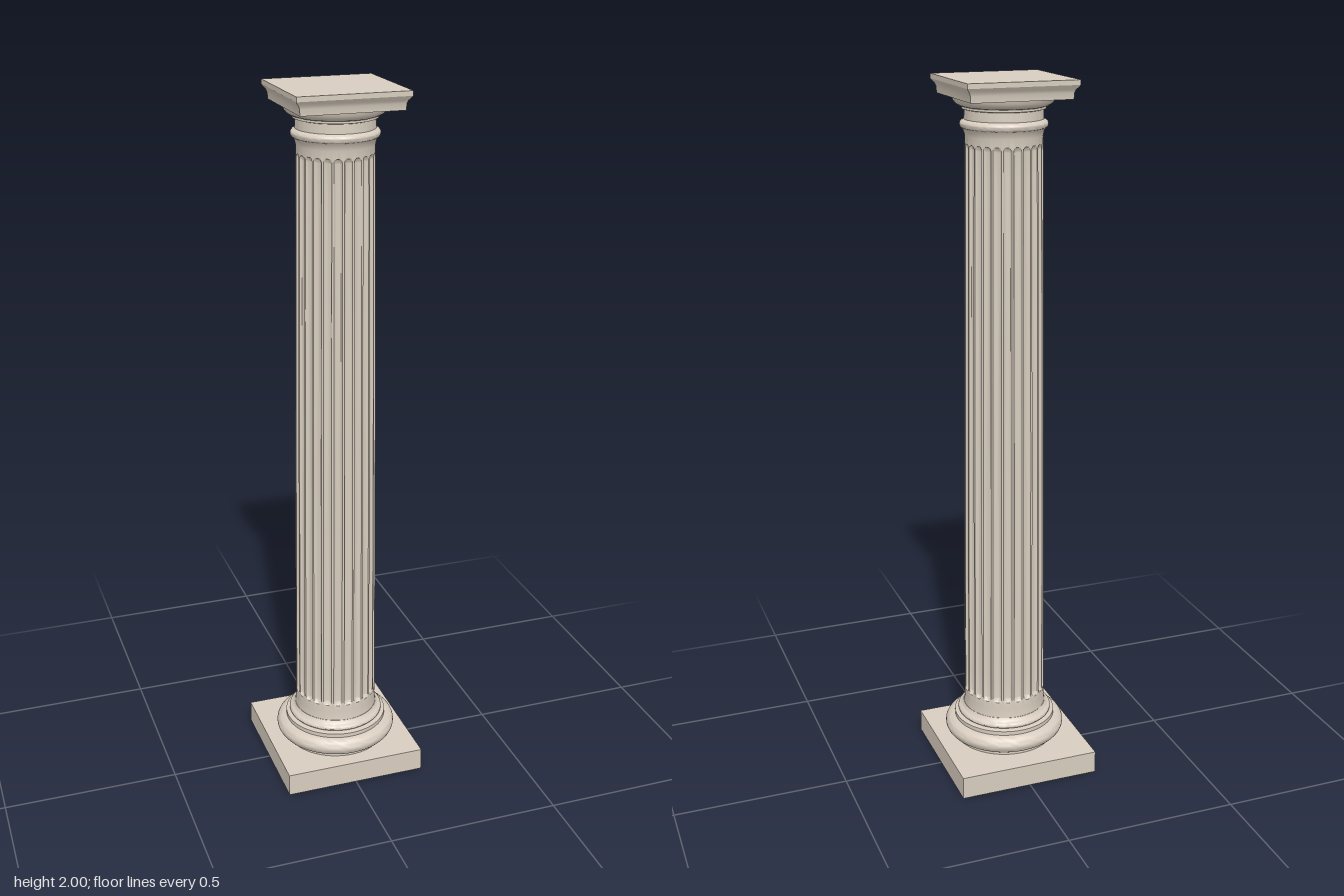
import * as THREE from 'three';
import { mergeVertices, toCreasedNormals } from 'three/addons/utils/BufferGeometryUtils.js';

const FLUTES = 24;
const AXIS_Z = 0.014; // the column stands slightly forward on its plinth
const FLUTE_BOTTOM = 0.22, FLUTE_TOP = 1.83;

const stone = new THREE.MeshStandardMaterial({ color: 0xd8cdbf });

function addMesh(group, name, geometry, z = AXIS_Z) {
  const mesh = new THREE.Mesh(geometry, stone);
  mesh.name = name;
  mesh.position.z = z;
  group.add(mesh);
}

// Turned solid from [radius, y] pairs, bottom to top
function turned(profile, segments = 72, crease = 0.7) {
  const points = profile.map(([r, y]) => new THREE.Vector2(r, y));
  const geometry = new THREE.LatheGeometry(points, segments);
  return toCreasedNormals(geometry, crease);
}

// Half-round bead: arc bulging outward between y0 and y1
function bead(r, bulge, y0, y1, steps = 12) {
  return Array.from({ length: steps + 1 }, (_, i) => {
    const a = -Math.PI / 2 + (Math.PI * i) / steps;
    return [r + bulge * Math.cos(a), (y0 + y1) / 2 + ((y1 - y0) / 2) * Math.sin(a)];
  });
}

// Square moulded block from [half width, y] pairs
function squareBlock(profile) {
  const geometry = turned(profile.map(([h, y]) => [h * Math.SQRT2, y]), 4, 0.35);
  return geometry.rotateY(Math.PI / 4);
}

// Tapered shaft with flutes that end in rounded stops
function flutedShaft() {
  const rows = [[0.121, 0.165], [0.119, 0.18], [0.118, 0.2]];
  const capRows = [0, 0.002, 0.005, 0.009, 0.014];
  const heights = [
    ...capRows.map((d) => FLUTE_BOTTOM + d),
    ...Array.from({ length: 13 }, (_, i) => 0.3 + i * 0.12),
    ...capRows.map((d) => FLUTE_TOP - d).reverse(),
  ];
  for (const y of heights) {
    const t = (y - FLUTE_BOTTOM) / (FLUTE_TOP - FLUTE_BOTTOM);
    rows.push([0.118 - 0.009 * t - 0.005 * t * t, y]);
  }
  rows.push([0.104, 1.85], [0.107, 1.862], [0.112, 1.87]);

  const points = rows.map(([r, y]) => new THREE.Vector2(r, y));
  let geometry = new THREE.LatheGeometry(points, FLUTES * 10);
  const p = geometry.attributes.position;
  for (let i = 0; i < p.count; i++) {
    const x = p.getX(i), y = p.getY(i), z = p.getZ(i);
    const phase = (Math.atan2(x, z) / (2 * Math.PI)) * FLUTES;
    const across = (phase - Math.round(phase)) / 0.4; // -1..1 inside a flute
    const fromEnd = Math.min(y - FLUTE_BOTTOM, FLUTE_TOP - y);
    const along = 1 - THREE.MathUtils.clamp(fromEnd / 0.014, 0, 1);
    const inside = fromEnd < 0 ? 0 : Math.max(0, 1 - across * across - along * along);
    const scale = 1 - (0.009 * Math.sqrt(inside)) / Math.hypot(x, z);
    p.setXYZ(i, x * scale, y, z * scale);
  }
  geometry.deleteAttribute('normal');
  geometry.deleteAttribute('uv');
  geometry = mergeVertices(geometry, 1e-5);
  return toCreasedNormals(geometry, 0.7);
}

export function createModel() {
  const column = new THREE.Group();
  column.name = 'column';

  // Square plinth
  addMesh(column, 'plinth', new THREE.BoxGeometry(0.412, 0.066, 0.412).translate(0, 0.033, 0), 0);

  // Round base: neck, large torus and stepped fillets up to the shaft
  addMesh(column, 'base', turned([
    [0, 0.06], [0.148, 0.06], [0.148, 0.078],
    ...bead(0.148, 0.028, 0.078, 0.13),
    [0.148, 0.142], [0.138, 0.144],
    ...bead(0.13, 0.008, 0.144, 0.16, 6),
    [0.125, 0.164], [0.121, 0.172], [0, 0.172],
  ]));

  addMesh(column, 'shaft', flutedShaft());

  // Round capital: astragal, necking and echinus
  addMesh(column, 'capital', turned([
    [0, 1.868], [0.11, 1.868],
    ...bead(0.11, 0.008, 1.87, 1.89, 8),
    [0.106, 1.893], [0.105, 1.918], [0.112, 1.92], [0.112, 1.926],
    [0.12, 1.928], [0.129, 1.934], [0.135, 1.942], [0.137, 1.952], [0, 1.952],
  ]));

  // Square abacus with a flared moulding under its top edge
  addMesh(column, 'abacus', squareBlock([
    [0, 1.95], [0.14, 1.95], [0.141, 1.967], [0.144, 1.975],
    [0.15, 1.982], [0.153, 1.987], [0.153, 2], [0, 2],
  ]));

  return column;
}
